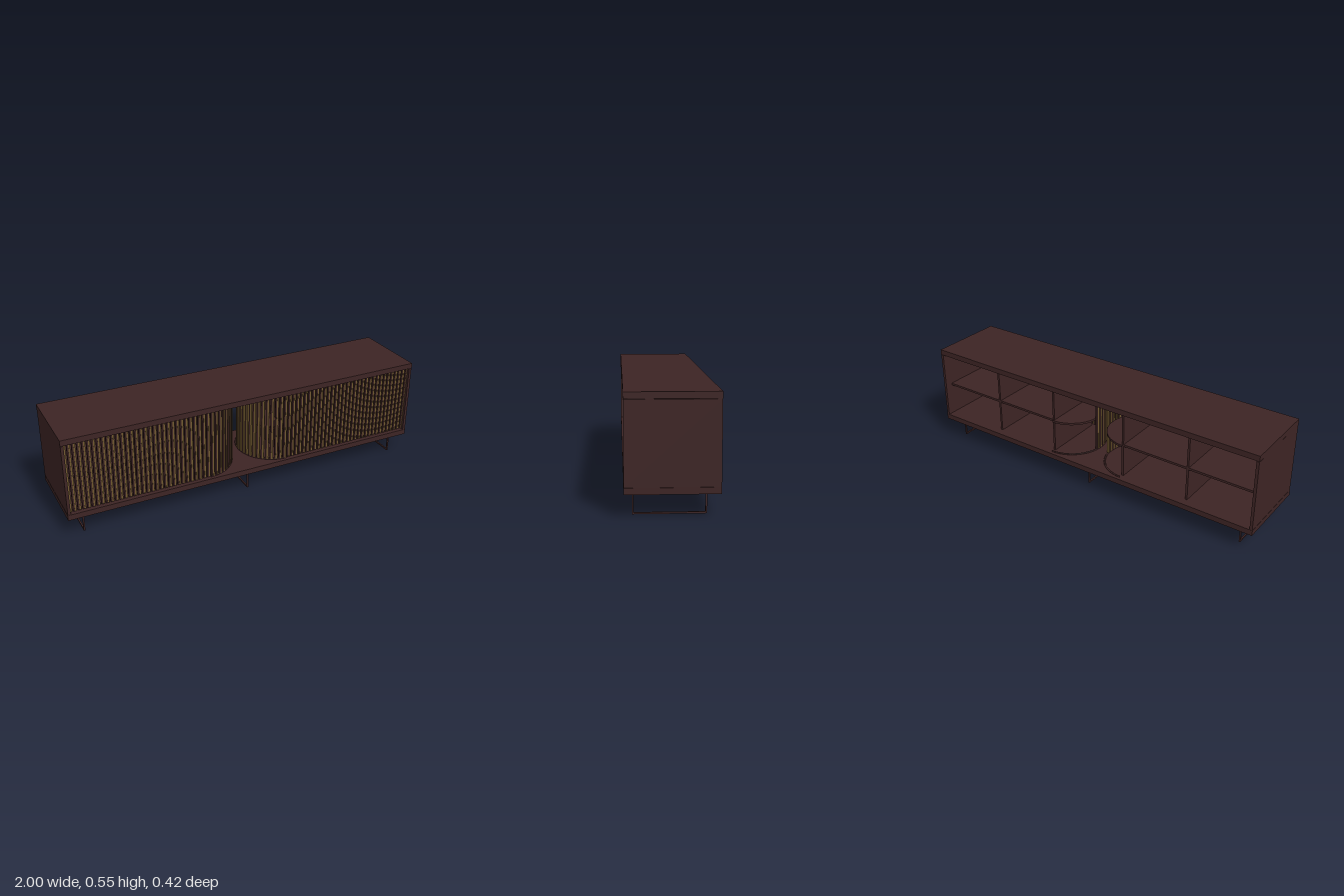
import * as THREE from 'three';
import { mergeGeometries } from 'three/addons/utils/BufferGeometryUtils.js';

export function createModel() {
  const model = new THREE.Group();
  const wood = new THREE.MeshStandardMaterial({ color: 0x3d2424 });
  wood.name = 'darkWood';
  const gold = new THREE.MeshStandardMaterial({ color: 0x70582f });
  gold.name = 'agedGold';

  const add = (name, geo, mat = wood) => {
    const mesh = new THREE.Mesh(geo, mat);
    mesh.name = name;
    model.add(mesh);
    return mesh;
  };
  // box given by its minimum and maximum on each axis
  const block = (x0, x1, y0, y1, z0, z1) =>
    new THREE.BoxGeometry(x1 - x0, y1 - y0, z1 - z0)
      .translate((x0 + x1) / 2, (y0 + y1) / 2, (z0 + z1) / 2);

  // Carcass
  add('topBoard', block(-1, 1, 0.522, 0.552, -0.212, 0.212));
  add('bottomBoard', block(-1, 1, 0.107, 0.137, -0.212, 0.212));

  const turnX = 0.225, turnR = 0.19, pitch = 0.024, shelfY = 0.32;
  for (const s of [1, -1]) {
    const side = s > 0 ? 'left' : 'right';
    add(side + 'SidePanel', block(-0.0075, 0.0075, 0.1375, 0.52, -0.212, 0.212)).position.x = s * 0.9915;
    for (const x of [turnX, 0.61])
      add(side + 'Divider', block(-0.006, 0.006, 0.137, 0.522, -0.168, 0.17)).position.x = s * x;
    add(side + 'Shelf', block(-0.38, 0.38, shelfY - 0.006, shelfY + 0.006, -0.168, 0.17)).position.x = s * 0.605;

    // Half round shelf and the tracks the door turns around
    add(side + 'RoundShelf', new THREE.CylinderGeometry(0.178, 0.178, 0.012, 32, 1, false, s > 0 ? Math.PI : 0, Math.PI))
      .position.set(s * turnX, shelfY, 0);
    for (const y of [0.139, 0.52])
      add(side + 'Track', new THREE.TorusGeometry(turnR, 0.005, 6, 32, Math.PI)
        .rotateX(Math.PI / 2).rotateY(-s * Math.PI / 2)).position.set(s * turnX, y, 0);

    // Tambour door: paired dark and gold slats, straight then curling inward
    const dark = [], bright = [];
    const slat = (x, z, turn) => {
      const place = (g) => g.rotateY(turn).translate(x, 0, z);
      dark.push(place(block(-0.009, -0.001, 0.142, 0.518, -0.007, 0.005)));
      bright.push(place(block(-0.001, 0.008, 0.142, 0.518, -0.006, 0.006)));
    };
    for (let x = turnX + pitch / 2; x < 0.982; x += pitch) slat(s * x, turnR, 0);
    for (let i = 0; i < 14; i++) {
      const a = (i + 0.5) * pitch / turnR;
      slat(s * (turnX - turnR * Math.sin(a)), turnR * Math.cos(a), -s * a);
    }
    add(side + 'DoorDarkSlats', mergeGeometries(dark));
    add(side + 'DoorGoldSlats', mergeGeometries(bright), gold);
  }

  // Rectangular loop legs with a mounting strip
  for (const x of [-0.915, 0, 0.915]) {
    const w = 0.004;
    add('leg', mergeGeometries([
      block(x - w, x + w, 0, 0.008, -0.157, 0.175),
      block(x - w, x + w, 0.088, 0.096, -0.157, 0.175),
      block(x - w, x + w, 0.008, 0.088, 0.167, 0.175),
      block(x - w, x + w, 0.008, 0.088, -0.157, -0.149),
      block(x - w, x + w, 0.096, 0.107, -0.1, 0.12),
    ]));
  }
  return model;
}
